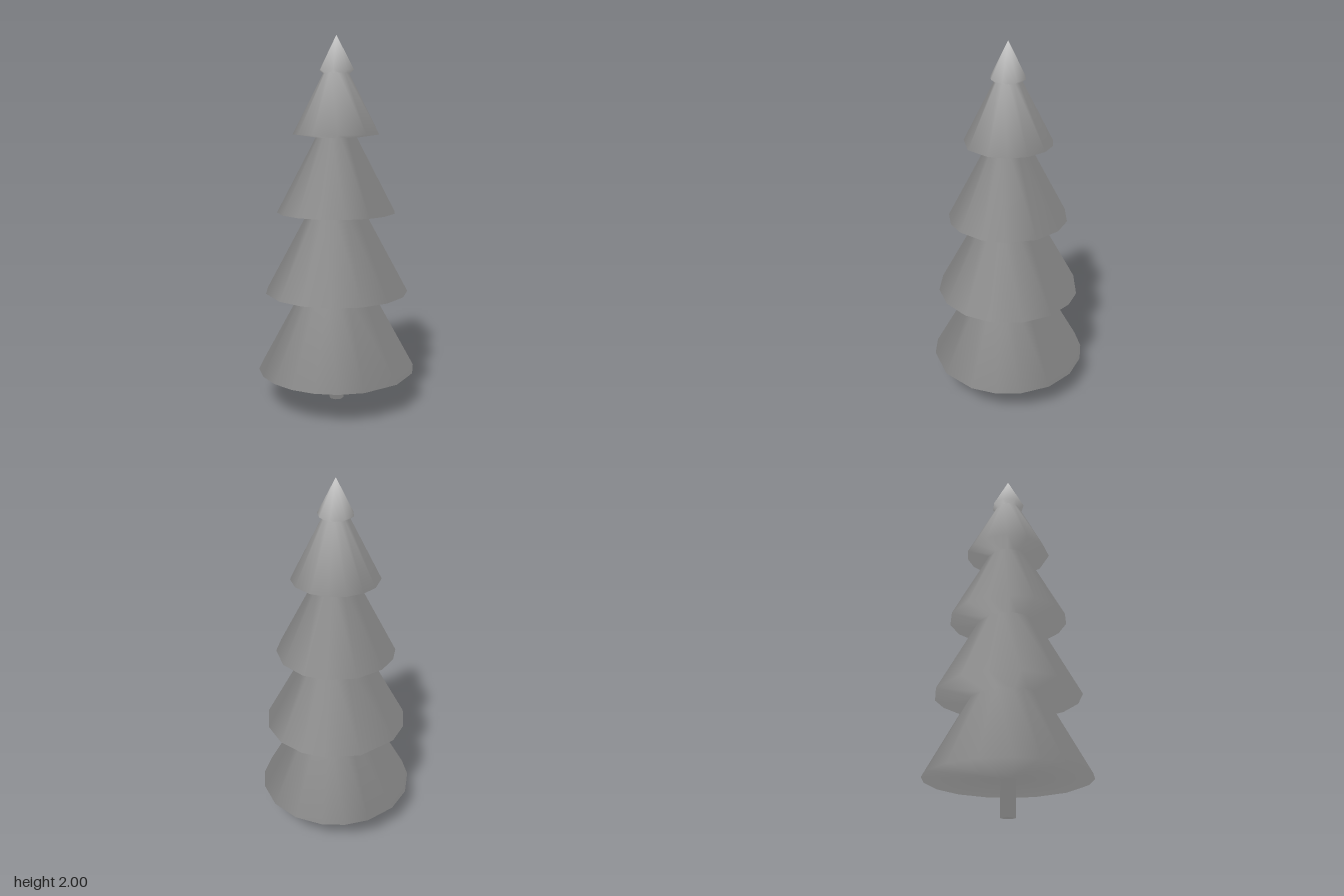
import * as THREE from 'three';

const material = new THREE.MeshStandardMaterial({ color: 0xcccccc });

// Skin through rings [radius, y, ny] listed from top to bottom, with corners at the given angles in degrees.
// ny is the vertical part of the ring's normal, so the shading rolls smoothly over lips and necks.
function ringSkin(name, angles, rings) {
  const n = angles.length, pos = [], nor = [], idx = [];
  for (const [r, y, ny] of rings) {
    const out = Math.sqrt(1 - ny * ny);
    for (const a of angles) {
      const t = THREE.MathUtils.degToRad(a);
      pos.push(r * Math.cos(t), y, r * Math.sin(t));
      nor.push(out * Math.cos(t), ny, out * Math.sin(t));
    }
  }
  for (let k = 0; k < rings.length - 1; k++) {
    for (let i = 0; i < n; i++) {
      const j = (i + 1) % n;
      const a = k * n + i, b = k * n + j, c = a + n, d = b + n;
      if (rings[k][0] > 0) idx.push(a, b, c);
      if (rings[k + 1][0] > 0) idx.push(b, d, c);
    }
  }
  const geo = new THREE.BufferGeometry();
  geo.setAttribute('position', new THREE.Float32BufferAttribute(pos, 3));
  geo.setAttribute('normal', new THREE.Float32BufferAttribute(nor, 3));
  geo.setIndex(idx);
  const mesh = new THREE.Mesh(geo, material);
  mesh.name = name;
  return mesh;
}

export function createModel() {
  const tree = new THREE.Group();
  tree.name = 'firTree';

  const parts = [
    // Tiers: hand-cut uneven corners, then neck, lip and underside rings
    ['treeTip', [43, 90, 141, 186, 225, 273, 313, 357],
      [[0, 2, 1], [0.095, 1.818, -0.2], [0.06, 1.793, -0.2]]],
    ['upperTier', [5, 39, 78, 111, 139, 167, 197, 219, 241, 264, 287, 315, 340],
      [[0.06, 1.82, -0.2], [0.235, 1.48, -0.46], [0.09, 1.459, -0.46]]],
    ['middleTier', [4, 30, 49, 72, 95, 118, 141, 165, 185, 207, 235, 263, 286, 313, 342],
      [[0.1, 1.485, -0.46], [0.323, 1.06, -0.46], [0.14, 1.034, -0.46]]],
    ['lowerTier', [15, 38, 61, 84, 107, 129, 157, 180, 202, 235, 264, 282, 304, 328, 353],
      [[0.15, 1.07, -0.46], [0.392, 0.622, -0.46], [0.18, 0.596, -0.46]]],
    ['bottomTier', [7, 33, 61, 79, 95, 112, 129, 146, 163, 185, 207, 230, 248, 265, 286, 308, 331, 348],
      [[0.19, 0.63, -0.46], [0.433, 0.186, -0.51], [0.035, 0.186, -0.7]]],
    // Trunk with a closed foot
    ['trunk', [0, 45, 90, 135, 180, 225, 270, 315],
      [[0.04, 0.19, -0.7], [0.04, 0, -0.7], [0, 0, -1]]],
  ];
  for (const part of parts) tree.add(ringSkin(...part));
  return tree;
}
